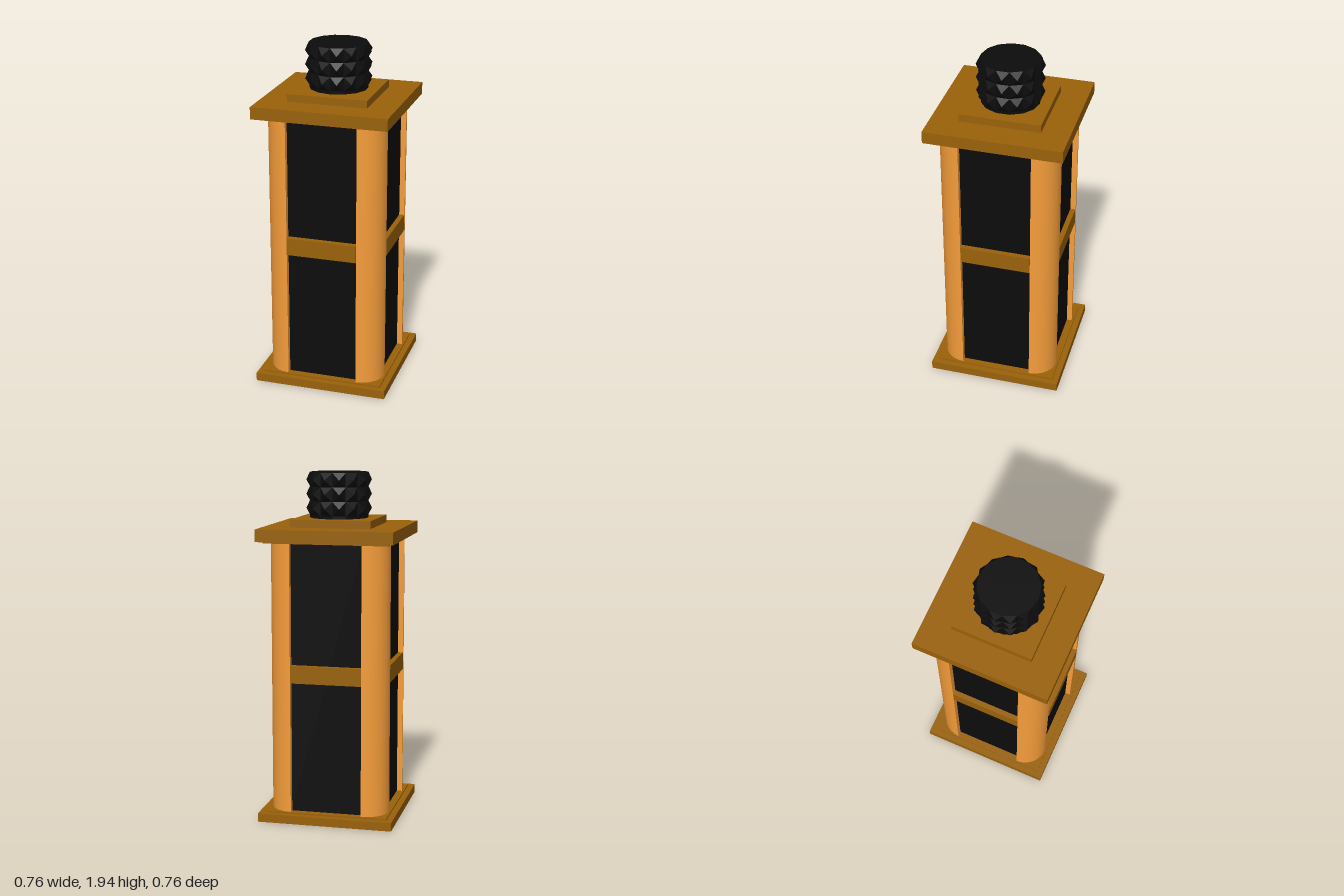
import * as THREE from 'three';

const brown = new THREE.MeshStandardMaterial({ color: 0x9a6209 });
const orange = new THREE.MeshStandardMaterial({ color: 0xf59d3a, side: THREE.DoubleSide });
const black = new THREE.MeshStandardMaterial({ color: 0x0c0c0c });
const blackFlat = new THREE.MeshStandardMaterial({ color: 0x0c0c0c, flatShading: true });

// Box given by width, bottom, top and depth, centred on the y axis
function slab(name, w, y0, y1, d, material) {
  const mesh = new THREE.Mesh(new THREE.BoxGeometry(w, y1 - y0, d), material);
  mesh.name = name;
  mesh.position.y = (y0 + y1) / 2;
  return mesh;
}

// Quarter-round corner post with two flat inner cheeks
function cornerPost(y0, y1, r) {
  const post = new THREE.Group();
  post.name = 'cornerPost';
  const h = y1 - y0;
  const round = new THREE.Mesh(new THREE.CylinderGeometry(r, r, h, 16, 1, true, 0, Math.PI / 2), orange);
  round.name = 'postRound';
  const cheekA = new THREE.Mesh(new THREE.PlaneGeometry(r, h), orange);
  cheekA.name = 'postCheek';
  cheekA.position.x = r / 2;
  cheekA.rotation.y = Math.PI;
  const cheekB = cheekA.clone();
  cheekB.position.set(0, 0, r / 2);
  cheekB.rotation.y = -Math.PI / 2;
  post.add(round, cheekA, cheekB);
  post.position.y = (y0 + y1) / 2;
  return post;
}

// Studded cylinder: rows of pyramids between plain 14-sided rings
function studdedKnob(teeth, rIn, rOut) {
  const rings = [[1.66, 0], [1.699, 0]];
  for (let y = 1.699; y < 1.93; y += 0.0787) rings.push([Math.min(y + 0.039, 1.97), 1], [Math.min(y + 0.0787, 2), 0]);
  const n = teeth * 2, pos = [];
  const point = (ring, i) => {
    const a = (i / n) * Math.PI * 2;
    const flat = rIn * Math.cos(Math.PI / teeth);
    const r = i % 2 ? rIn : ring[1] ? rOut : flat;
    return [r * Math.cos(a), ring[0], r * Math.sin(a)];
  };
  for (let k = 0; k < rings.length - 1; k++) {
    for (let i = 0; i < n; i++) {
      const a = point(rings[k], i), b = point(rings[k], i + 1);
      const c = point(rings[k + 1], i + 1), d = point(rings[k + 1], i);
      // Choose the diagonal that runs from the stud tip's column
      if ((i + rings[k][1]) % 2) pos.push(...a, ...d, ...c, ...a, ...c, ...b);
      else pos.push(...a, ...d, ...b, ...d, ...c, ...b);
    }
  }
  const top = rings[rings.length - 1];
  for (let i = 0; i < n; i++) pos.push(0, top[0], 0, ...point(top, i + 1), ...point(top, i));
  const g = new THREE.BufferGeometry();
  g.setAttribute('position', new THREE.Float32BufferAttribute(pos, 3));
  g.computeVertexNormals();
  const mesh = new THREE.Mesh(g, blackFlat);
  mesh.name = 'studdedKnob';
  return mesh;
}

export function createModel() {
  const model = new THREE.Group();
  model.name = 'lantern';

  // Base and cap
  model.add(
    slab('basePlate', 0.76, 0, 0.048, 0.76, brown),
    slab('baseStep', 0.69, 0.048, 0.056, 0.69, brown),
    slab('capStep', 0.69, 1.562, 1.572, 0.69, brown),
    slab('capPlate', 0.76, 1.572, 1.64, 0.76, brown),
    slab('capCollar', 0.45, 1.64, 1.683, 0.45, brown),
  );

  // Dark panels, recessed between the posts
  model.add(
    slab('panelsFrontBack', 0.4, 0.056, 1.562, 0.608, black),
    slab('panelsSides', 0.608, 0.056, 1.562, 0.4, black),
  );

  // Posts and cross bars on all four sides
  for (let i = 0; i < 4; i++) {
    const side = new THREE.Group();
    side.name = 'side' + (i + 1);
    const post = cornerPost(0.056, 1.562, 0.135);
    post.position.x = post.position.z = 0.2;
    const bar = slab('crossBar', 0.398, 0.792, 0.89, 0.06, brown);
    bar.position.z = i === 0 ? 0.31 : 0.303;
    side.add(post, bar);
    side.rotation.y = (i * Math.PI) / 2;
    model.add(side);
  }

  model.add(studdedKnob(14, 0.163, 0.186));
  return model;
}
